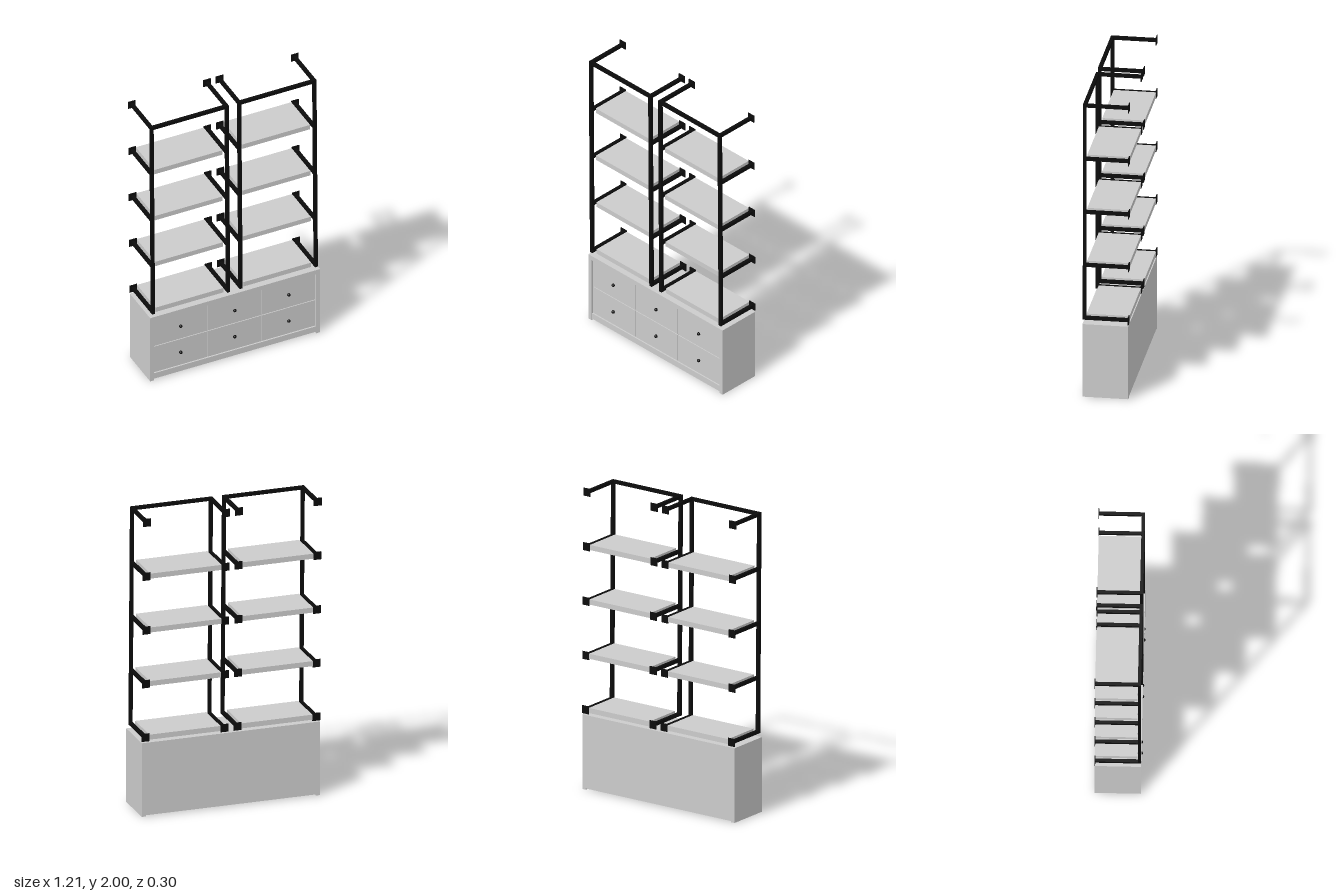
import * as THREE from 'three';

const wood = new THREE.MeshStandardMaterial({ color: 0xcccccc });
const iron = new THREE.MeshStandardMaterial({ color: 0x0b0b0b });

// Box given by its minimum and maximum on each axis
function slab(parent, name, [x0, x1], [y0, y1], [z0, z1], material = wood) {
  const mesh = new THREE.Mesh(new THREE.BoxGeometry(x1 - x0, y1 - y0, z1 - z0), material);
  mesh.position.set((x0 + x1) / 2, (y0 + y1) / 2, (z0 + z1) / 2);
  mesh.name = name;
  parent.add(mesh);
  return mesh;
}

const BACK = -0.15, FRONT = 0.143, HALF = 0.597;
const LEVELS = [0.53, 0.89, 1.25, 1.612, 1.974];
const R = 0.0105;                 // half thickness of the iron bars
const PLATE = 0.026;              // half size of the wall plates
const POST_Z = FRONT - R;
const BOTTOM = LEVELS[0], TOP = LEVELS[4];
// The posts lean slightly to one side
const lean = y => -0.01 * (y - BOTTOM) / (TOP - BOTTOM);

function buildCabinet() {
  const cabinet = new THREE.Group();
  cabinet.name = 'cabinet';
  slab(cabinet, 'carcass', [-HALF + 0.01, HALF - 0.01], [0.008, 0.49], [BACK, 0.126]);
  slab(cabinet, 'cabinetTop', [-HALF, HALF], [0.463, 0.495], [BACK, FRONT]);
  slab(cabinet, 'bottomRail', [-HALF + 0.01, HALF - 0.01], [0.008, 0.05], [0.1, 0.137]);
  for (const s of [-1, 1]) {
    const xs = [s * HALF, s * 0.57].sort((a, b) => a - b);
    slab(cabinet, 'sidePanel', xs, [0, 0.463], [BACK, FRONT]);
  }
  // Six drawers with round knobs
  for (const x of [-0.38, 0, 0.38]) {
    for (const y of [0.155, 0.36]) {
      slab(cabinet, 'drawerFront', [x - 0.1875, x + 0.1875], [y - 0.1, y + 0.1], [0.12, 0.133]);
      const knob = new THREE.Mesh(new THREE.SphereGeometry(0.011, 16, 10), iron);
      knob.name = 'knob';
      knob.position.set(x, y, 0.139);
      cabinet.add(knob);
    }
  }
  return cabinet;
}

function buildShelfUnit(xLeft, xRight) {
  const unit = new THREE.Group();
  unit.name = 'shelfUnit';
  for (const x of [xLeft, xRight]) {
    // Upright post, sheared to follow the lean
    const post = slab(unit, 'post', [x - R, x + R], [BOTTOM - R, TOP + R], [POST_Z - R, POST_Z + R], iron);
    const p = post.geometry.attributes.position;
    for (let i = 0; i < p.count; i++) p.setX(i, p.getX(i) + lean(p.getY(i) + post.position.y));
    // Arms running back to square wall plates
    for (const y of LEVELS) {
      const cx = x + lean(y);
      slab(unit, 'arm', [cx - R, cx + R], [y - R, y + R], [BACK, POST_Z], iron);
      slab(unit, 'wallPlate', [cx - PLATE, cx + PLATE], [y - PLATE, y + PLATE], [BACK - 0.002, BACK + 0.003], iron);
    }
  }
  // Front bar across the top
  slab(unit, 'topBar', [xLeft + lean(TOP), xRight + lean(TOP)], [TOP - R, TOP + R], [POST_Z - R, POST_Z + R], iron);
  // Boards between the arms
  for (const y of LEVELS.slice(0, 4)) {
    slab(unit, 'shelf', [xLeft + PLATE + lean(y), xRight - PLATE + lean(y)], [y - 0.017, y + 0.017], [BACK, 0.12]);
  }
  return unit;
}

export function createModel() {
  const model = new THREE.Group();
  model.name = 'shelvingCabinet';
  model.add(buildCabinet(), buildShelfUnit(-0.573, -0.045), buildShelfUnit(0.043, 0.572));
  return model;
}
